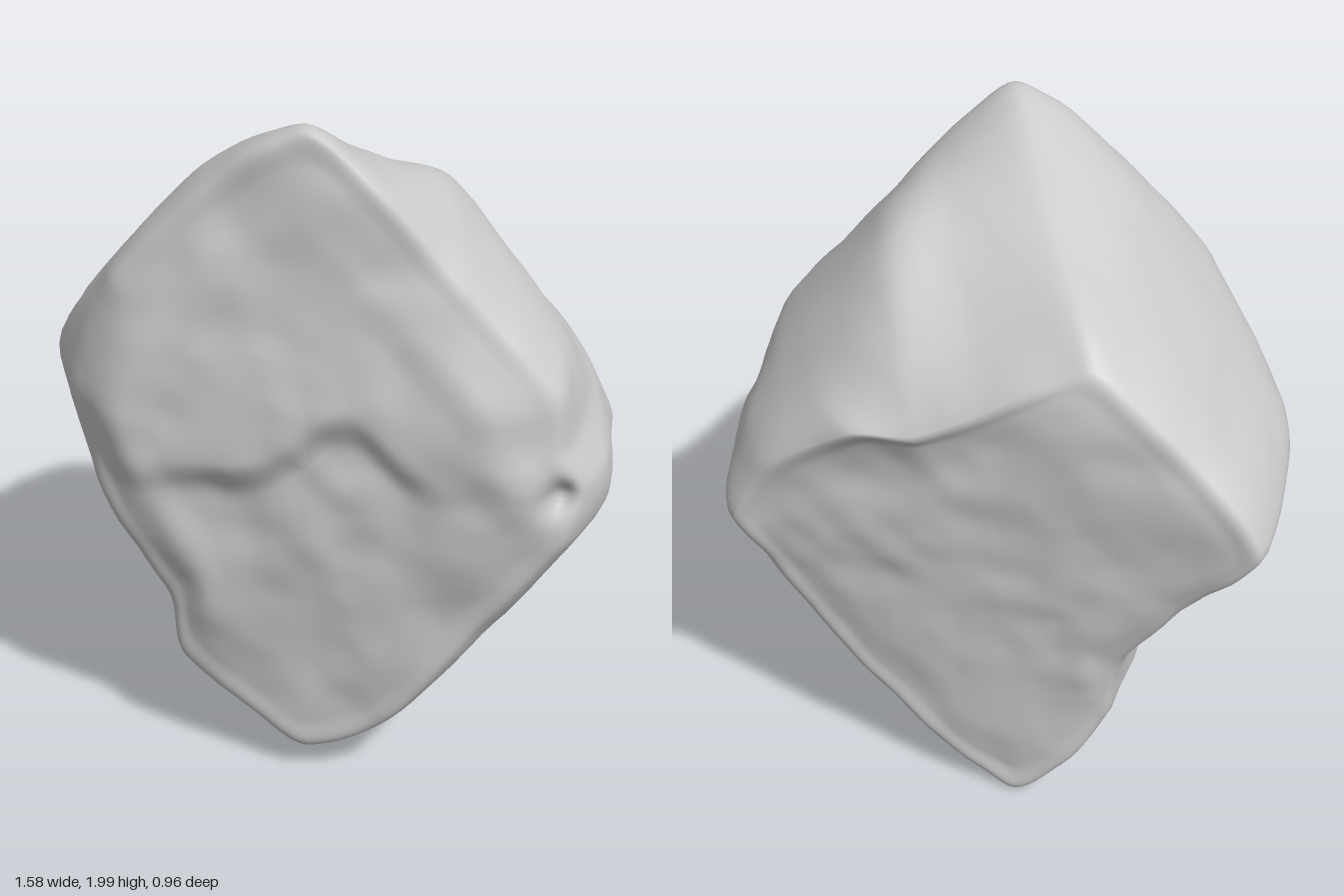
import * as THREE from 'three';
import { mergeVertices } from 'three/addons/utils/BufferGeometryUtils.js';

// Matching control points, clockwise from the peak: front rim, girdle, back rim
const frontRim = [
  [.01, 1.99, .45], [.22, 1.8, .42], [.37, 1.62, .4], [.64, 1.32, .39], [.67, 1.14, .4], [.73, 1.02, .38],
  [.68, .85, .4], [.43, .52, .38], [.19, .2, .34], [-.02, .1, .34], [-.16, .17, .33], [-.39, .35, .32],
  [-.42, .56, .34], [-.59, .92, .38], [-.69, 1.23, .28], [-.52, 1.55, .38], [-.27, 1.82, .41],
];
const girdle = [
  [-.08, 1.87, .1], [.15, 1.8, .08], [.32, 1.72, 0], [.62, 1.36, .05], [.73, 1.17, .05], [.78, 1.04, .08],
  [.77, .88, .08], [.52, .5, .1], [.26, .21, 0], [-.02, .04, .08], [-.2, .16, .05], [-.4, .36, .05],
  [-.43, .56, .05], [-.62, .88, .05], [-.78, 1.19, .02], [-.57, 1.51, .05], [-.3, 1.78, .08],
];
const backRim = [
  [-.24, 1.63, -.4], [.02, 1.48, -.4], [.2, 1.39, -.39], [.37, 1.37, -.37], [.61, 1.18, -.27], [.73, .97, -.23],
  [.64, .79, -.2], [.46, .49, -.2], [.18, .18, -.23], [-.05, .01, -.27], [-.2, .14, -.28], [-.33, .35, -.28],
  [-.36, .59, -.31], [-.56, .9, -.39], [-.72, 1.12, -.47], [-.56, 1.36, -.45], [-.38, 1.53, -.42],
];

// Broad shape of the two large faces
const frontZ = (x, y) => .452 - .09 * THREE.MathUtils.smoothstep(1.05 - y, -.1, .95)
  + .022 * Math.exp(-((y - 1.18) ** 2) / .05);
const backZ = (x, y) => -.355 + .157 * x - .09 * (y - 1.1);

// Arched ledge across the front, hollow beneath
function ledge(x, y) {
  const below = 1.02 + .19 * Math.exp(-(((x - .1) / .16) ** 2)) - y;
  const span = Math.exp(-(((x + .08) / .36) ** 4));
  return -.045 * span * THREE.MathUtils.smoothstep(below, -.04, .09) * Math.exp(-((below / .22) ** 2));
}

const loop = (pts) => new THREE.CatmullRomCurve3(
  pts.map((p) => new THREE.Vector3(...p)), true, 'catmullrom', 0.35);

// Smooth value noise in the range -1 to 1
function hash(x, y, z) {
  const s = Math.sin(x * 127.1 + y * 311.7 + z * 74.7) * 43758.5453;
  return (s - Math.floor(s)) * 2 - 1;
}
function noise(x, y, z) {
  const cell = [x, y, z].map(Math.floor);
  const [u, v, w] = [x - cell[0], y - cell[1], z - cell[2]].map((f) => f * f * (3 - 2 * f));
  let sum = 0;
  for (let n = 0; n < 8; n++) {
    const i = n & 1, j = (n >> 1) & 1, k = n >> 2;
    sum += hash(cell[0] + i, cell[1] + j, cell[2] + k)
      * (i ? u : 1 - u) * (j ? v : 1 - v) * (k ? w : 1 - w);
  }
  return sum;
}

// Weathered surface with a ledge in front and a chip at the right corner
function weather(p) {
  const out = new THREE.Vector3(p.x, p.y - 1, p.z).normalize();
  out.z += Math.sign(p.z) * .6;
  const rough = .009 * noise(p.x * 5, p.y * 5, p.z * 5) + .004 * noise(p.x * 11, p.y * 11, p.z * 11);
  const chip = (p.x - .66) ** 2 + (p.y - 1.01) ** 2 + (p.z - .41) ** 2;
  const dz = THREE.MathUtils.smoothstep(p.z, .25, .4) * ledge(p.x, p.y) - .05 * Math.exp(-chip / .0025);
  p.addScaledVector(out, rough);
  p.z += dz;
  return p;
}

// Point on a face, a share k of the way from its rim to its centre
function facePoint(rim, centre, k, faceZ) {
  const p = rim.clone().lerp(centre, k);
  p.z = THREE.MathUtils.lerp(rim.z, faceZ(p.x, p.y), Math.min(1, k / .25) ** .7);
  return p;
}

function rockGeometry() {
  const around = 153, rows = 91;
  const front = loop(frontRim), middle = loop(girdle), back = loop(backRim);
  const frontCentre = new THREE.Vector3(0, 1.05, frontZ(0, 1.05));
  const backCentre = new THREE.Vector3(0, .9, backZ(0, .9));
  const positions = [], index = [];

  // One rounded profile per column, from the front centre over the rims to the back centre
  for (let j = 0; j < around; j++) {
    const t = j / around;
    const f = front.getPoint(t), m = middle.getPoint(t), b = back.getPoint(t);
    const profile = new THREE.CatmullRomCurve3([
      frontCentre,
      ...[.8, .6, .4, .25, .1].map((k) => facePoint(f, frontCentre, k, frontZ)),
      f, m, b,
      ...[.1, .25, .5, .75].map((k) => facePoint(b, backCentre, k, backZ)),
      backCentre,
    ]);
    for (const p of profile.getPoints(rows)) positions.push(...weather(p).toArray());
  }

  const stride = rows + 1;
  for (let j = 0; j < around; j++) {
    for (let i = 0; i < rows; i++) {
      const a = j * stride + i, c = ((j + 1) % around) * stride + i;
      if (i > 0) index.push(a, c, a + 1);
      if (i < rows - 1) index.push(a + 1, c, c + 1);
    }
  }

  const geometry = new THREE.BufferGeometry();
  geometry.setAttribute('position', new THREE.Float32BufferAttribute(positions, 3));
  geometry.setIndex(index);

  // Rest the rock on the ground, centred
  geometry.computeBoundingBox();
  const { min, max } = geometry.boundingBox;
  geometry.translate(-(min.x + max.x) / 2, -min.y, -(min.z + max.z) / 2);
  const welded = mergeVertices(geometry, 1e-5);
  welded.computeVertexNormals();
  return welded;
}

export function createModel() {
  const group = new THREE.Group();
  group.name = 'rock';
  const stone = new THREE.MeshStandardMaterial({ color: 0xcccccc });
  stone.name = 'stone grey';
  const boulder = new THREE.Mesh(rockGeometry(), stone);
  boulder.name = 'boulder';
  group.add(boulder);
  return group;
}
